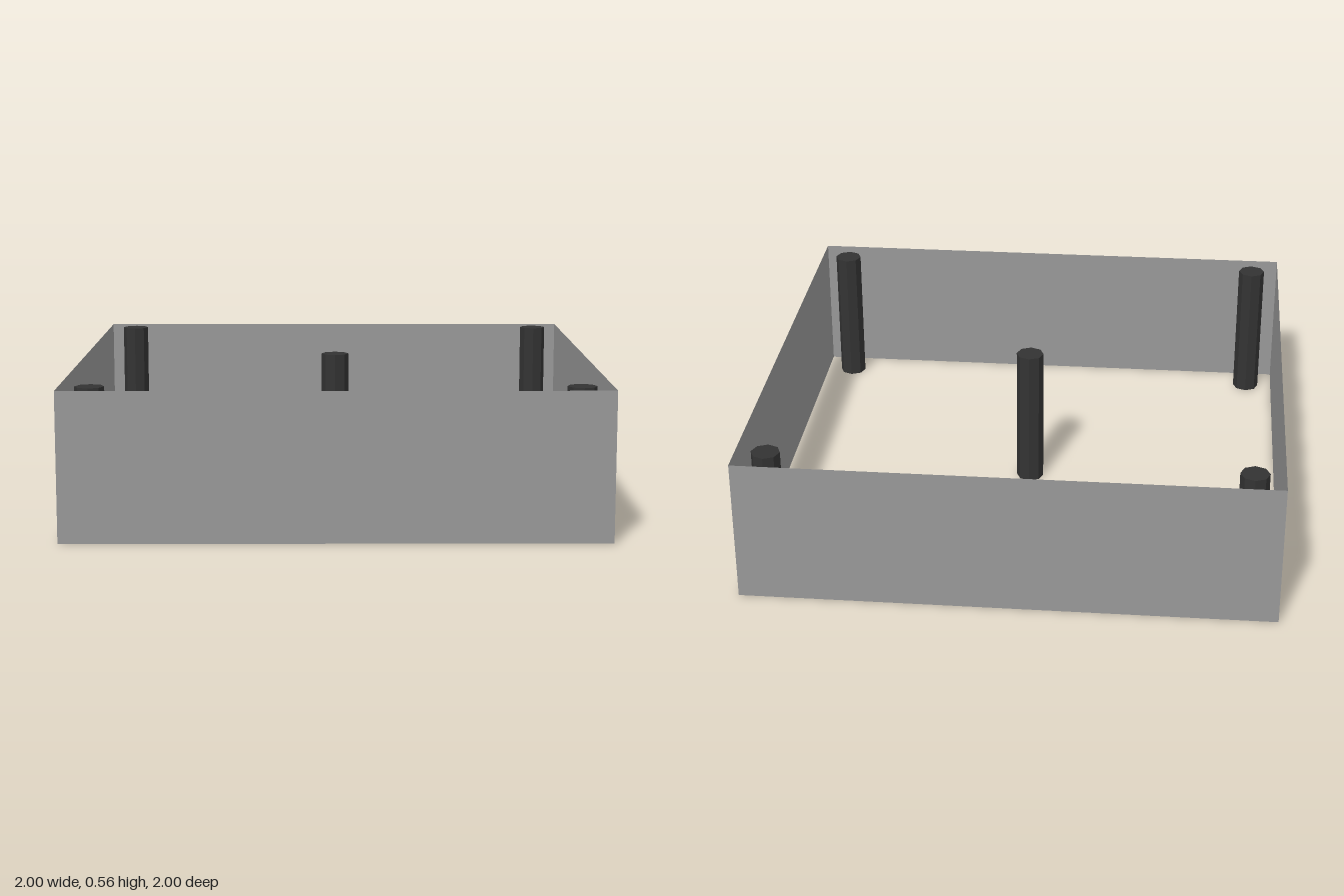
import * as THREE from 'three';

export function createModel() {
  const model = new THREE.Group();
  model.name = 'walledEnclosure';

  const panelGrey = new THREE.MeshStandardMaterial({ color: 0x999999, side: THREE.DoubleSide });
  panelGrey.name = 'panelGrey';
  const postBlack = new THREE.MeshStandardMaterial({ color: 0x333333, flatShading: true });
  postBlack.name = 'postBlack';

  const height = 0.555;

  // Four paper-thin outer walls, open above and below
  const wallGeometry = new THREE.PlaneGeometry(2, height).translate(0, height / 2, 1);
  ['frontWall', 'leftWall', 'backWall', 'rightWall'].forEach((name, i) => {
    const wall = new THREE.Mesh(wallGeometry, panelGrey);
    wall.name = name;
    wall.rotation.y = i * Math.PI / 2;
    model.add(wall);
  });

  // Octagonal posts: one near each corner and one in the middle
  const postGeometry = new THREE.CylinderGeometry(0.054, 0.054, height, 8).translate(0, height / 2, 0);
  const inset = 0.888;
  const posts = {
    frontLeftPost: [1, 1],
    frontRightPost: [-1, 1],
    backLeftPost: [1, -1],
    backRightPost: [-1, -1],
    centrePost: [0, 0],
  };
  for (const [name, [sx, sz]] of Object.entries(posts)) {
    const post = new THREE.Mesh(postGeometry, postBlack);
    post.name = name;
    post.position.set(sx * inset, 0, sz * inset);
    model.add(post);
  }

  return model;
}
